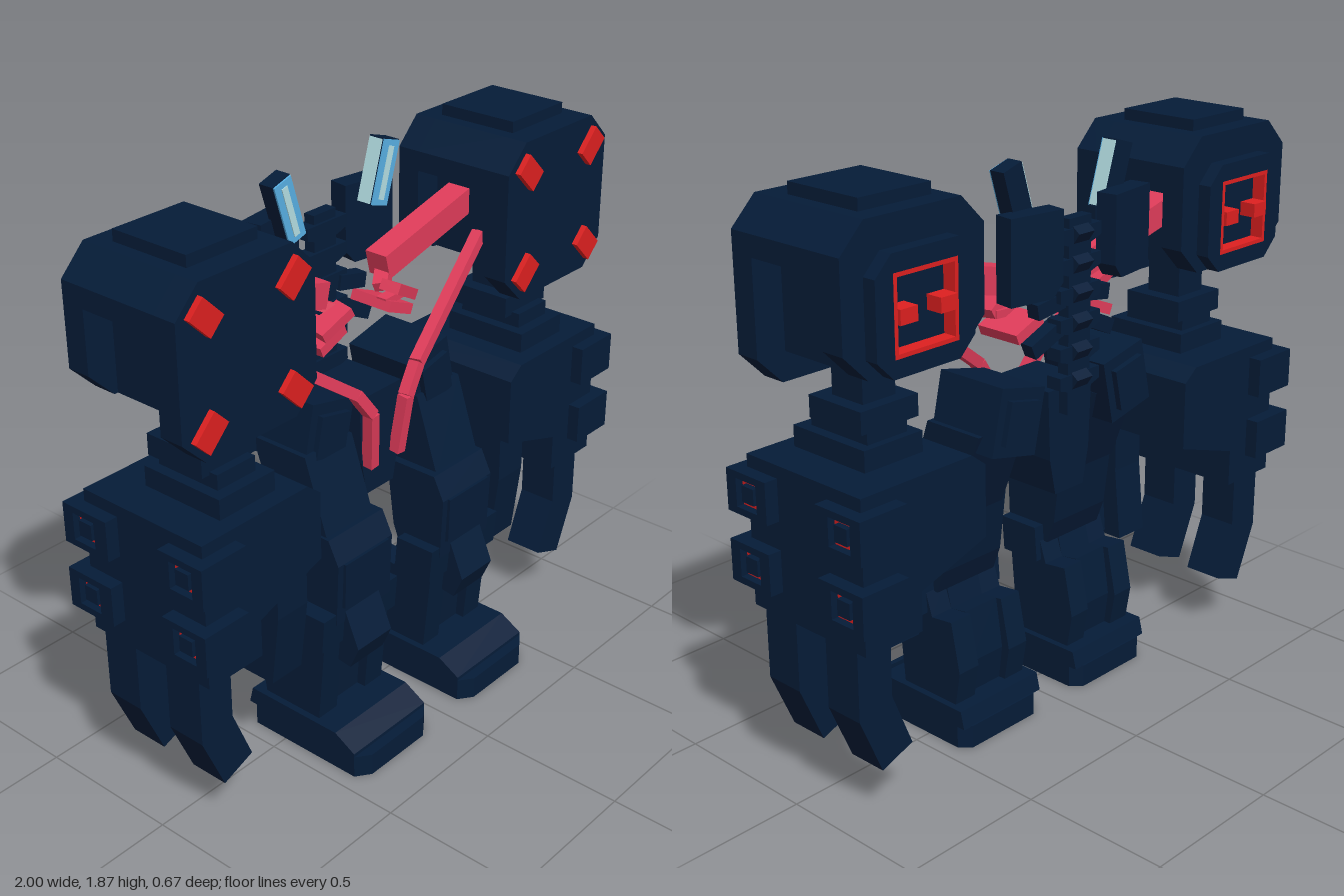
import * as THREE from 'three';

const mat = (name, hex) => {
  const m = new THREE.MeshStandardMaterial({ color: hex });
  m.name = name;
  return m;
};

export function createModel() {
  const model = new THREE.Group();
  const navy = mat('navy armour', 0x051c38);
  const red = mat('red lights', 0xde2020);
  const pink = mat('pink cables', 0xe03c5a);
  const blue = mat('blue glass', 0x58b0e4);
  const pale = mat('pale glass', 0xb4dfe4);

  // ---- helpers ----
  const put = (name, geo, m) => {
    const g = geo.index ? geo.toNonIndexed() : geo;
    g.computeVertexNormals();
    const mesh = new THREE.Mesh(g, m);
    mesh.name = name;
    model.add(mesh);
  };
  const flip = (geo) => {
    const g = geo.index ? geo.toNonIndexed() : geo.clone();
    const p = g.attributes.position;
    const a = new THREE.Vector3(), b = new THREE.Vector3();
    g.scale(-1, 1, 1);
    for (let i = 0; i < p.count; i += 3) {
      a.fromBufferAttribute(p, i + 1);
      b.fromBufferAttribute(p, i + 2);
      p.setXYZ(i + 1, b.x, b.y, b.z);
      p.setXYZ(i + 2, a.x, a.y, a.z);
    }
    return g;
  };
  // build on the left (+x) and mirror to the right
  const pair = (name, geo, m = navy) => {
    put(name + 'Right', flip(geo), m);
    put(name + 'Left', geo, m);
  };
  const box = (x0, x1, y0, y1, z0, z1) =>
    new THREE.BoxGeometry(x1 - x0, y1 - y0, z1 - z0).translate((x0 + x1) / 2, (y0 + y1) / 2, (z0 + z1) / 2);
  const shape = (pts) => new THREE.Shape(pts.map(([a, b]) => new THREE.Vector2(a, b)));
  const solid = (s, depth) => new THREE.ExtrudeGeometry(s, { depth, bevelEnabled: false });
  // shape in x,y pulled along z
  const pullZ = (s, z0, z1) => solid(s, z1 - z0).translate(0, 0, z0);
  const slabZ = (pts, z0, z1) => pullZ(shape(pts), z0, z1);
  // shape in z,y pulled along x
  const pullX = (s, x0, x1) => solid(s, x1 - x0).rotateY(-Math.PI / 2).translate(x1, 0, 0);
  const slabX = (pts, x0, x1) => pullX(shape(pts), x0, x1);
  const octagon = (x0, x1, y0, y1, c) => [
    [x0 + c, y0], [x1 - c, y0], [x1, y0 + c], [x1, y1 - c],
    [x1 - c, y1], [x0 + c, y1], [x0, y1 - c], [x0, y0 + c]];
  const square = (cx, cy, r) => [[cx - r, cy - r], [cx + r, cy - r], [cx + r, cy + r], [cx - r, cy + r]];
  const holed = (outer, inner) => {
    const s = shape(outer);
    s.holes.push(shape(inner));
    return s;
  };
  // straight bar between two points: w across, d in depth
  const bar = (p, q, w, d) => {
    const a = new THREE.Vector3(...p), b = new THREE.Vector3(...q);
    const turn = new THREE.Matrix4().lookAt(b, a, new THREE.Vector3(0, 0, 1));
    const mid = a.clone().add(b).multiplyScalar(0.5);
    return new THREE.BoxGeometry(w, d, a.distanceTo(b)).applyMatrix4(turn).translate(mid.x, mid.y, mid.z);
  };

  // ---- shoulder pods, open at both sides ----
  const sx = 0.715, sy = 1.565;
  pair('shoulderFront', slabZ(octagon(0.448, 0.98, 1.3, 1.833, 0.087), 0.09, 0.172));
  pair('shoulderRoof', slabZ([[0.448, 1.68], [0.98, 1.68], [0.98, 1.746], [0.893, 1.833],
    [0.535, 1.833], [0.448, 1.746]], -0.19, 0.09));
  pair('shoulderBack', slabZ(octagon(0.448, 0.98, 1.39, 1.833, 0.087), -0.27, -0.19));
  pair('shoulderBackPanel', pullZ(holed(octagon(0.53, 0.9, 1.39, 1.74, 0.06), square(sx, sy, 0.12)), -0.315, -0.27));
  pair('shoulderCore', box(0.55, 0.88, 1.39, 1.65, -0.19, 0.09));
  pair('shoulderCap', box(0.58, 0.848, 1.83, 1.87, -0.2, 0.085));
  pair('backLightFrame', pullZ(holed(square(sx, sy, 0.12), square(sx, sy, 0.107)), -0.3155, -0.27), red);
  for (const dx of [-0.075, 0.075]) {
    pair('backLight', box(sx + dx - 0.032, sx + dx + 0.032, 1.54, 1.585, -0.326, -0.27), red);
    for (const dy of [-1, 1]) {
      const u = Math.sign(dx);
      const stud = new THREE.BoxGeometry(0.105, 0.074, 0.022).rotateZ(u * dy * Math.PI / 4);
      pair('frontStud', stud.translate(sx + u * 0.17, sy + dy * 0.17, 0.181), red);
    }
  }

  // ---- arms ----
  pair('armNeck', box(0.65, 0.775, 1.1, 1.4, -0.11, 0.02));
  pair('armCollar', box(0.6, 0.82, 1.18, 1.25, -0.15, 0.07));
  pair('armStem', box(0.637, 0.79, 1.1, 1.19, -0.14, 0.1));
  pair('armBase', box(0.6, 0.825, 1.07, 1.14, -0.165, 0.14));
  pair('forearm', slabZ([[0.955, 0.588], [0.955, 1.073], [0.525, 1.073], [0.47, 1.03],
    [0.47, 0.8], [0.735, 0.715], [0.735, 0.588]], -0.29, 0.198));
  for (const [z0, z1, c] of [[0.065, 0.24, 0.153], [-0.335, -0.15, -0.248]]) {
    for (const y of [0.965, 0.74]) {
      // socket with a red floor around a navy peg
      const rim = [[z0, y - 0.067], [z1, y - 0.067], [z1, y + 0.067], [z0, y + 0.067]];
      pair('forearmBlock', slabX(rim, 0.825, 0.97));
      pair('forearmSocket', pullX(holed(rim, square(c, y, 0.045)), 0.97, 1.0));
      pair('forearmLight', box(0.968, 0.975, y - 0.045, y + 0.045, c - 0.045, c + 0.045), red);
      pair('socketPeg', box(0.97, 0.995, y - 0.026, y + 0.026, c - 0.026, c + 0.026));
    }
  }
  for (const [z0, z1] of [[0.015, 0.152], [-0.25, -0.115]]) {
    pair('outerFinger', slabZ([[0.953, 0.6], [0.953, 0.36], [0.87, 0.165], [0.75, 0.21],
      [0.825, 0.395], [0.825, 0.6]], z0, z1));
  }
  pair('thumb', slabX([[0.015, 0.8], [0.152, 0.8], [0.152, 0.63], [0.12, 0.38], [-0.01, 0.38], [0.015, 0.63]], 0.487, 0.617));

  // ---- legs ----
  const sole = shape([[0.09, 0.13], [0.125, 0.165], [0.408, 0.165], [0.443, 0.13],
    [0.443, -0.3], [0.395, -0.335], [0.138, -0.335], [0.09, -0.3]]);
  pair('sole', solid(sole, 0.078).rotateX(-Math.PI / 2));
  pair('footTop', slabX([[0.3, 0.075], [0.3, 0.09], [0.22, 0.135], [-0.145, 0.135], [-0.16, 0.075]], 0.09, 0.443));
  const shin = [[0.13, 0.13], [0.165, 0.5], [0.03, 0.5], [0.0, 0.41], [-0.085, 0.42], [-0.12, 0.25], [-0.1, 0.13]];
  pair('shinInner', slabX(shin, 0.112, 0.195));
  pair('shinOuter', slabX(shin, 0.335, 0.42));
  pair('shinCore', slabX(shin.map(([z, y]) => [z * 0.75, y]), 0.195, 0.335));
  pair('kneePads', slabX([[0.02, 0.42], [0.17, 0.42], [0.18, 0.54], [0.03, 0.54]], 0.09, 0.443));
  pair('kneeCap', slabX([[0.1, 0.58], [0.16, 0.585], [0.235, 0.41], [0.2, 0.33], [0.13, 0.34]], 0.185, 0.345));
  pair('thighLower', slabX([[-0.05, 0.8], [0.15, 0.8], [0.19, 0.72], [0.18, 0.5], [0.01, 0.48], [-0.02, 0.56]], 0.13, 0.385));
  pair('thighPlate', slabX([[0.14, 0.72], [0.2, 0.72], [0.195, 0.56], [0.14, 0.54]], 0.155, 0.36));
  pair('thighUpper', slabX([[-0.17, 1.05], [0.05, 1.05], [0.14, 0.78], [-0.06, 0.75]], 0.16, 0.375));
  pair('hip', new THREE.BoxGeometry(0.19, 0.215, 0.26).rotateZ(0.22).translate(0.253, 1.08, -0.09));
  pair('hipPlate', new THREE.BoxGeometry(0.13, 0.14, 0.3).rotateZ(0.22).translate(0.253, 1.08, -0.09));

  // ---- pelvis and spine ----
  put('pelvis', slabZ([[-0.065, 0.78], [0.065, 0.78], [0.09, 0.9], [0.1, 1.13], [-0.1, 1.13], [-0.09, 0.9]], -0.2, 0.03), navy);
  put('spineCore', box(-0.05, 0.05, 1.05, 1.67, -0.235, -0.195), navy);
  for (let i = 0; i < 6; i++) {
    const y = 1.155 + i * 0.092;
    put('vertebra', slabZ([[-0.09, y + 0.025], [-0.09, y - 0.015], [-0.045, y - 0.03], [0.045, y - 0.03],
      [0.09, y - 0.015], [0.09, y + 0.025]], -0.24, -0.185), navy);
    put('spineSpike', slabX([[-0.235, y - 0.03], [-0.235, y + 0.03], [-0.262, y + 0.01]], -0.035, 0.035), navy);
  }
  pair('rib', bar([0.05, 1.34, -0.2], [0.18, 1.28, -0.19], 0.05, 0.05));
  pair('upperRib', bar([0.05, 1.42, -0.2], [0.16, 1.4, -0.19], 0.05, 0.05));

  // ---- back blocks with glowing horns in front ----
  const block = slabZ([[-0.098, 1.5], [-0.06, 1.455], [0.098, 1.455], [0.098, 1.72], [-0.098, 1.72]], -0.035, 0.035);
  pair('backBlock', block.rotateY(-0.15).translate(0.21, 0, -0.225));
  const horn = (name, geo, m) => pair(name, geo.rotateZ(-0.3).translate(0.218, 1.75, -0.165), m);
  horn('horn', box(-0.039, 0.039, -0.107, 0.107, -0.028, 0.026), navy);
  horn('hornFace', box(-0.037, 0.037, -0.104, 0.104, 0.026, 0.032), blue);
  horn('hornStripe', box(-0.012, 0.012, -0.085, 0.085, 0.032, 0.035), pale);
  horn('hornInside', box(-0.043, -0.039, -0.102, 0.102, -0.026, 0.024), pale);

  // ---- pink cables ----
  pair('shoulderBeam', bar([0.56, 1.582, -0.1], [0.14, 1.475, -0.1], 0.085, 0.085), pink);
  const strap = [[0.56, 1.475, -0.02], [0.15, 1.18, 0.055], [0.085, 1.09, 0.065], [0.065, 0.89, 0.045]];
  for (let i = 0; i < 3; i++) pair('strap', bar(strap[i], strap[i + 1], 0.036, 0.04), pink);
  pair('upperTendon', bar([0.105, 1.435, -0.02], [0.215, 1.375, -0.04], 0.035, 0.07), pink);
  pair('lowerTendon', bar([0.105, 1.365, -0.1], [0.215, 1.32, -0.1], 0.035, 0.16), pink);
  pair('tendonLink', bar([0.2, 1.375, -0.06], [0.11, 1.37, -0.06], 0.025, 0.04), pink);
  pair('tendonRoot', bar([0.17, 1.45, -0.1], [0.11, 1.42, -0.06], 0.035, 0.05), pink);

  return model;
}
